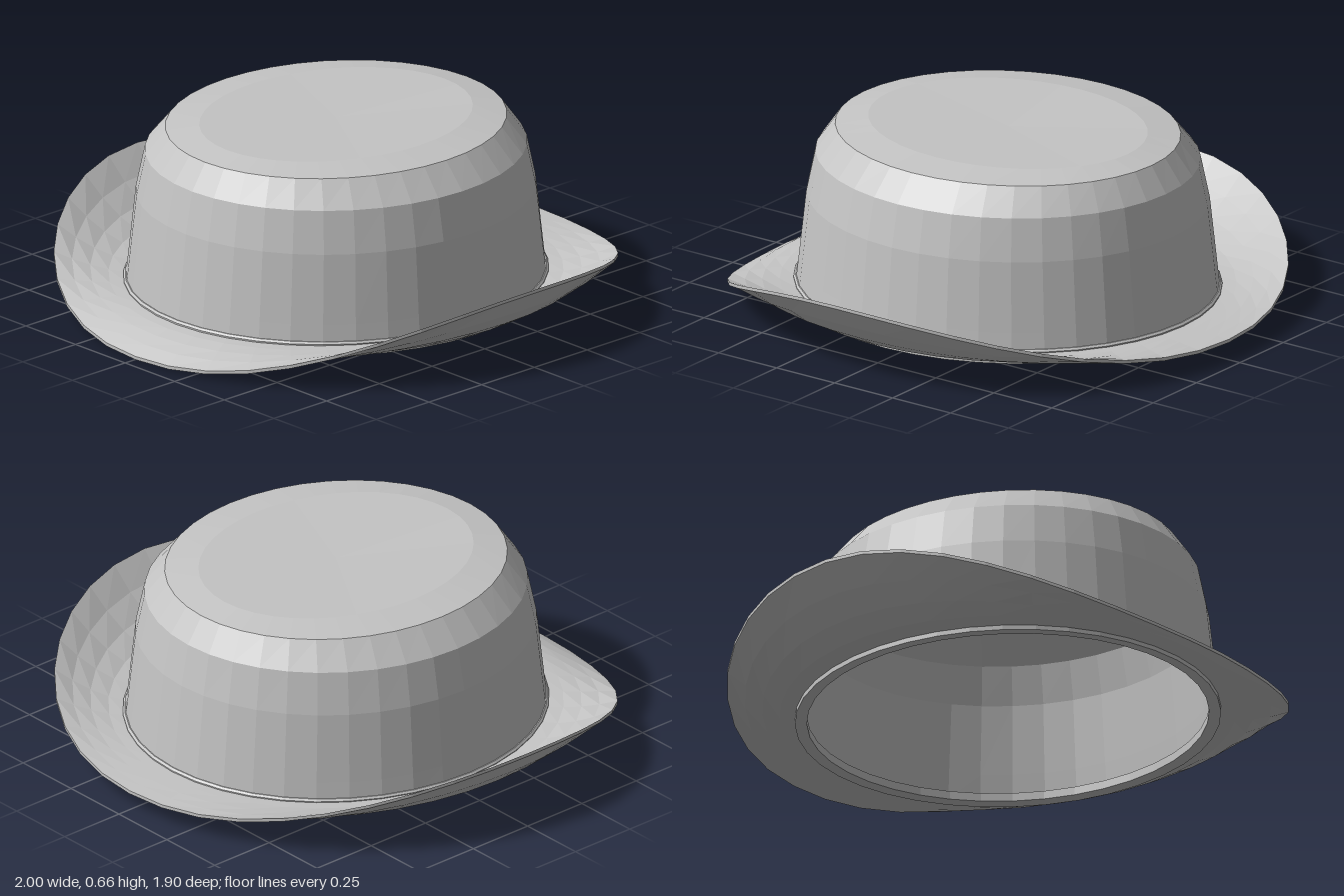
import * as THREE from 'three';

const SEGMENTS = 40;

// Sweeps a closed cross-section round the y axis; section(a) lists [radiusX, radiusZ, y],
// running up the outside and back down the inside. Angle 0 is the front.
function sweep(section) {
  const positions = [], index = [];
  const count = section(0).length;
  for (let i = 0; i < SEGMENTS; i++) {
    const a = (i / SEGMENTS) * Math.PI * 2;
    for (const [rx, rz, y] of section(a)) positions.push(rx * Math.sin(a), y, rz * Math.cos(a));
  }
  for (let i = 0; i < SEGMENTS; i++) {
    const n = (i + 1) % SEGMENTS;
    for (let j = 0; j < count; j++) {
      const k = (j + 1) % count;
      const p = i * count + j, q = n * count + j, r = n * count + k, s = i * count + k;
      index.push(p, q, r, p, r, s);
    }
  }
  const geometry = new THREE.BufferGeometry();
  geometry.setAttribute('position', new THREE.Float32BufferAttribute(positions, 3));
  geometry.setIndex(index);
  geometry.computeVertexNormals();
  return geometry;
}

// Crown: tapered oval wall, bevelled shoulder and slightly dished top, as a thin shell
function crownSection() {
  const outer = [
    [0.705, 0.75, 0.06], [0.695, 0.74, 0.15], [0.67, 0.712, 0.4],
    [0.637, 0.682, 0.55], [0.555, 0.62, 0.642], [0.42, 0.515, 0.66], [0, 0, 0.65],
  ];
  const inner = outer.map(([rx, rz, y], i) => {
    const inset = rx ? 0.015 : 0;
    return [rx - inset, rz - inset, i > 2 ? y - 0.014 : y];
  }).reverse();
  return [...outer, ...inner];
}

// Brim: dips at the front, curls up at both sides, lifts a little at the back
function brimSection(a) {
  const low = Math.cos(a) > 0 ? 0 : 0.063;
  const edge = low + (0.273 - low) * Math.pow(Math.abs(Math.sin(a)), 2.3);
  const steps = [0, 0.25, 0.5, 0.75, 1];
  const surface = (t, base, rim) => [
    0.7 + 0.3 * t, 0.745 + 0.207 * t, base + (rim - base) * Math.pow(t, 1.8),
  ];
  const under = steps.map((t) => surface(t, 0.058, edge));
  const top = steps.map((t) => surface(t, 0.08, edge + 0.012)).reverse();
  return [...under, ...top];
}

// Band: low cord round the foot of the crown
const bandSection = () => [
  [0.708, 0.753, 0.05], [0.711, 0.757, 0.085], [0.705, 0.75, 0.092],
  [0.69, 0.735, 0.092], [0.69, 0.735, 0.05],
];

// Lining lip: flat ring round the opening underneath
const lipSection = () => [
  [0.71, 0.753, 0.042], [0.71, 0.753, 0.058], [0.668, 0.712, 0.075], [0.668, 0.712, 0.045],
];

export function createModel() {
  const felt = new THREE.MeshStandardMaterial({ color: 0xc4c4c4, flatShading: true });
  felt.name = 'greyFelt';
  const hat = new THREE.Group();
  hat.name = 'hat';
  const parts = { crown: crownSection, brim: brimSection, band: bandSection, liningLip: lipSection };
  for (const [name, section] of Object.entries(parts)) {
    const mesh = new THREE.Mesh(sweep(section), felt);
    mesh.name = name;
    hat.add(mesh);
  }
  return hat;
}
